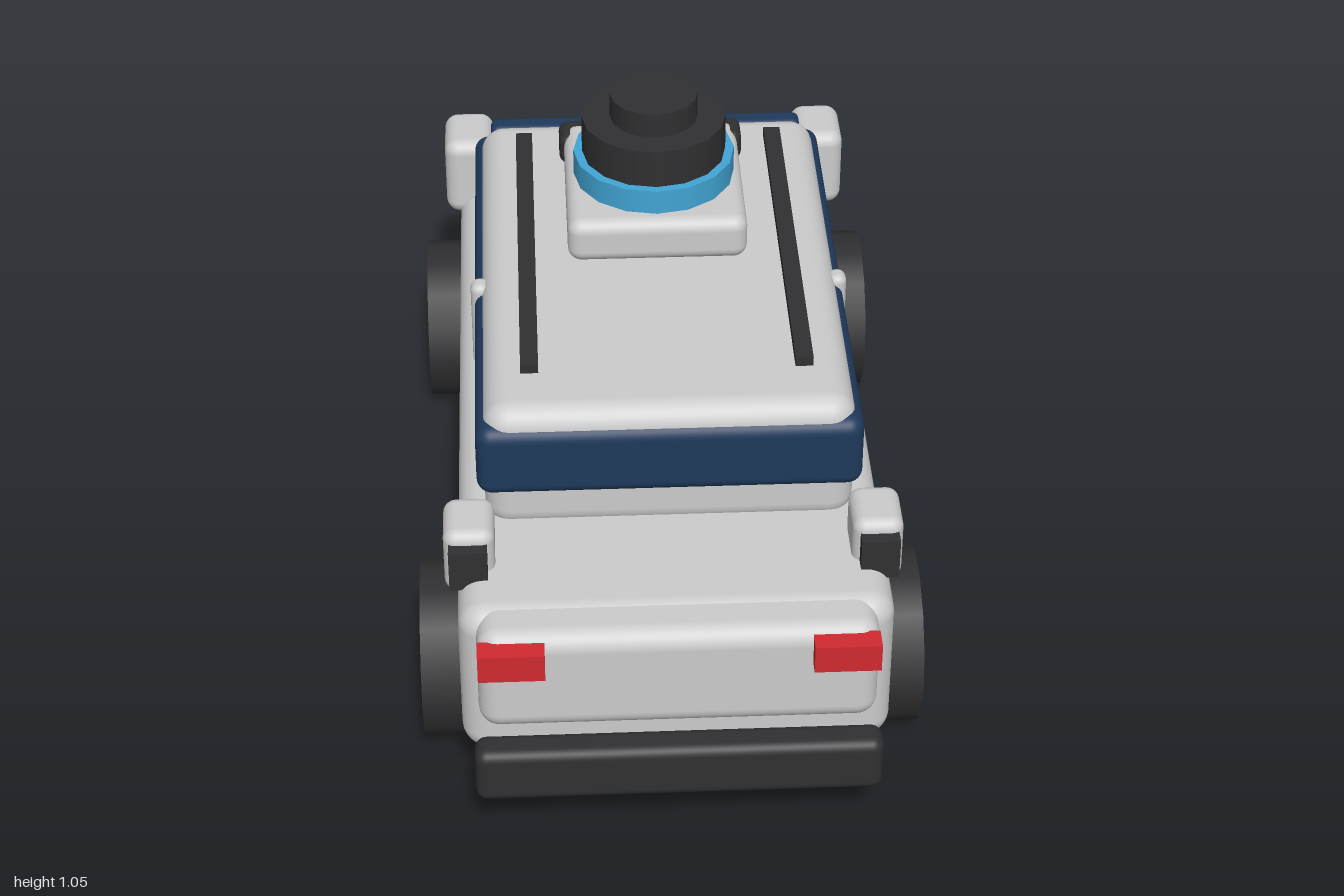
import * as THREE from 'three';
import { RoundedBoxGeometry } from 'three/addons/geometries/RoundedBoxGeometry.js';

const paint = (color) => new THREE.MeshStandardMaterial({ color });
const grey = paint(0xcccccc);
const black = paint(0x303032);
const navy = paint(0x1f3a5c);
const blue = paint(0x42a5d5);
const red = paint(0xd02a30);
const cream = paint(0xdcd2b4);

export function createModel() {
  const model = new THREE.Group();

  const add = (name, geometry, material, x, y, z) => {
    const mesh = new THREE.Mesh(geometry, material);
    mesh.name = name;
    mesh.position.set(x, y, z);
    model.add(mesh);
    return mesh;
  };

  // Box given by its [min, max] range on each axis; r > 0 rounds the edges
  const box = (name, material, [x0, x1], [y0, y1], [z0, z1], r = 0) => {
    const size = [x1 - x0, y1 - y0, z1 - z0];
    const geometry = r ? new RoundedBoxGeometry(...size, 4, r) : new THREE.BoxGeometry(...size);
    return add(name, geometry, material, (x0 + x1) / 2, (y0 + y1) / 2, (z0 + z1) / 2);
  };

  // The same box on the left and the right
  const pair = (name, material, [x0, x1], y, z, r) => {
    box(name + 'Left', material, [x0, x1], y, z, r);
    box(name + 'Right', material, [-x1, -x0], y, z, r);
  };

  // Chassis and lower body
  box('chassis', black, [-0.38, 0.38], [0.1, 0.22], [-0.86, 0.87], 0.03);
  box('body', grey, [-0.415, 0.415], [0.16, 0.51], [-0.885, 0.89], 0.05);
  box('frontPanel', grey, [-0.38, 0.38], [0.275, 0.505], [0.8, 0.95], 0.04);
  box('backPanel', grey, [-0.38, 0.38], [0.27, 0.455], [-0.945, -0.8], 0.035);
  box('frontBumper', black, [-0.39, 0.39], [0.14, 0.26], [0.93, 1], 0.022);
  box('backBumper', black, [-0.39, 0.39], [0.14, 0.26], [-1, -0.93], 0.022);
  box('grille', black, [-0.24, 0.24], [0.265, 0.435], [-0.98, -0.935]);
  pair('redLight', red, [0.252, 0.378], [0.43, 0.49], [0.935, 0.98]);
  pair('headlight', cream, [0.252, 0.378], [0.4, 0.455], [-0.97, -0.93]);

  // Cabin with a wraparound window band
  box('cabin', grey, [-0.36, 0.36], [0.48, 0.765], [-0.475, 0.6], 0.05);
  box('windowBand', navy, [-0.375, 0.375], [0.573, 0.73], [-0.485, 0.61], 0.03);
  box('windscreen', navy, [-0.34, 0.34], [0.5, 0.73], [-0.545, -0.495], 0.015);
  pair('doorPillar', grey, [0.345, 0.383], [0.545, 0.745], [0.095, 0.14], 0.017);
  pair('roofRail', black, [0.25, 0.285], [0.755, 0.785], [-0.385, 0.465]);

  // Sensor pods on the four corners, each with a dark lens
  pair('frontPod', grey, [0.342, 0.44], [0.455, 0.6], [0.627, 0.755], 0.025);
  pair('frontPodLens', black, [0.356, 0.43], [0.488, 0.576], [0.74, 0.78]);
  pair('backPod', grey, [0.337, 0.446], [0.46, 0.645], [-0.72, -0.565], 0.03);
  pair('backPodLens', black, [0.356, 0.426], [0.508, 0.615], [-0.745, -0.7]);

  // Roof sensor: base, two cameras and stacked drums
  const zs = -0.107;
  box('sensorBase', grey, [-0.183, 0.183], [0.763, 0.86], [zs - 0.2, zs + 0.2], 0.028);
  pair('roofCamera', black, [0.12, 0.193], [0.786, 0.856], [-0.328, -0.245], 0.02);
  const drums = [
    ['sensorRing', blue, 0.166, 0.85, 0.913],
    ['sensorDrum', black, 0.148, 0.913, 0.995],
    ['sensorCap', black, 0.09, 0.995, 1.048],
  ];
  for (const [name, material, r, y0, y1] of drums) {
    add(name, new THREE.CylinderGeometry(r, r, y1 - y0, 16), material, 0, (y0 + y1) / 2, zs);
  }

  // Wheels
  const wheel = new THREE.CylinderGeometry(0.178, 0.178, 0.132, 14).rotateZ(Math.PI / 2);
  for (const z of [0.577, -0.573]) {
    for (const x of [0.43, -0.43]) {
      add((z > 0 ? 'front' : 'back') + 'Wheel' + (x > 0 ? 'Left' : 'Right'), wheel, black, x, 0.1735, z);
    }
  }

  return model;
}
